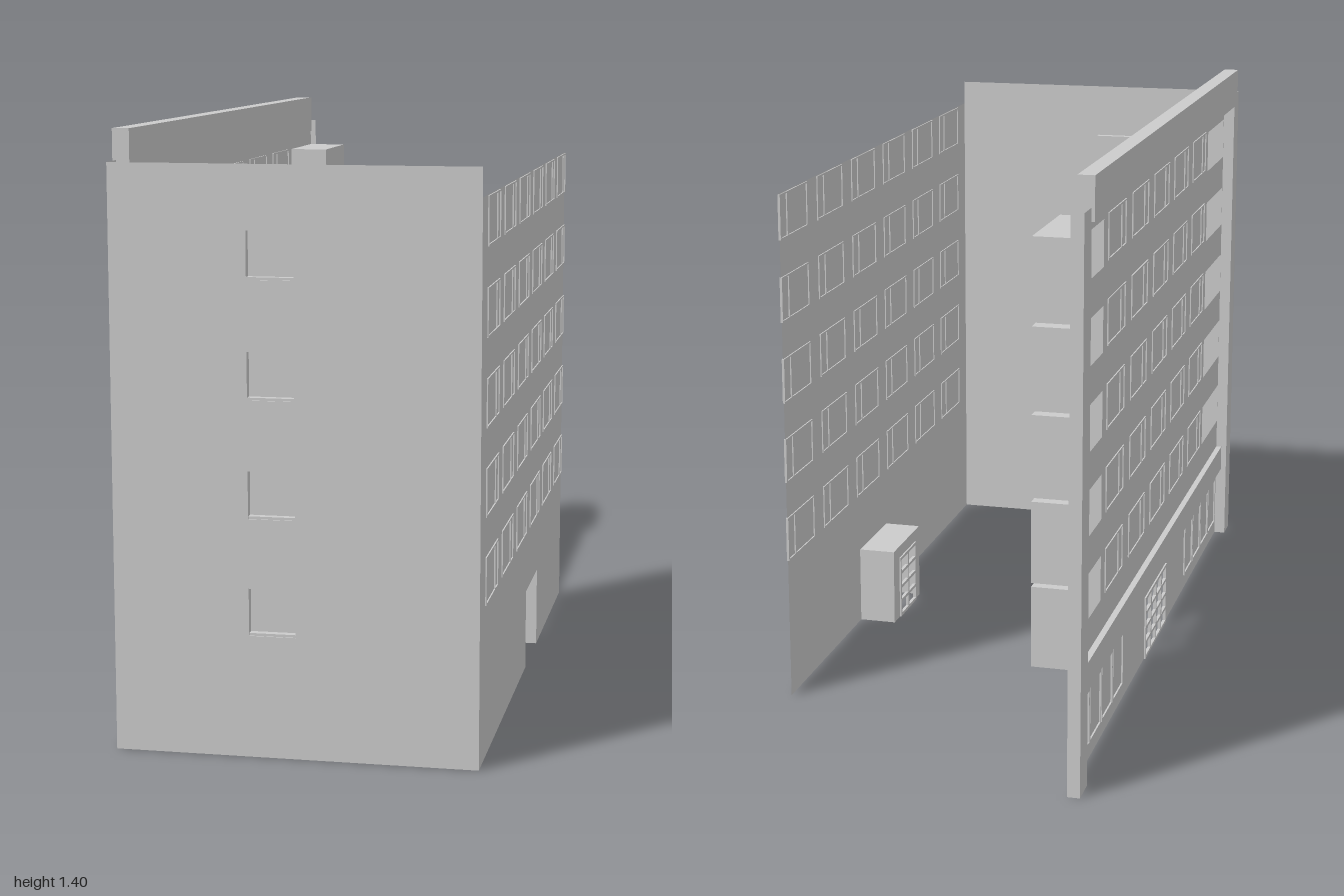
import * as THREE from 'three';

const material = new THREE.MeshStandardMaterial({ color: 0xcccccc, side: THREE.DoubleSide, flatShading: true });
const FACES = ['+x', '-x', '+y', '-y', '+z', '-z'];
const FLOORS = [0, 1, 2, 3, 4].map((i) => 0.275 + i * 0.199);

export function createModel() {
  const model = new THREE.Group();

  function add(name, geometry, parent = model) {
    const mesh = new THREE.Mesh(geometry, material);
    mesh.name = name;
    parent.add(mesh);
    return mesh;
  }

  function group(name) {
    const g = new THREE.Group();
    g.name = name;
    model.add(g);
    return g;
  }

  // Box given by its limits, with the listed faces left open
  function box(name, [x0, x1], [y0, y1], [z0, z1], open = [], parent = model) {
    const g = new THREE.BoxGeometry(x1 - x0, y1 - y0, z1 - z0);
    const index = Array.from(g.index.array).filter((_, i) => !open.includes(FACES[Math.floor(i / 6)]));
    g.setIndex(index);
    g.clearGroups();
    g.translate((x0 + x1) / 2, (y0 + y1) / 2, (z0 + z1) / 2);
    return add(name, g, parent);
  }

  const rect = (a0, a1, b0, b1, Type = THREE.Path) =>
    new Type([[a0, b0], [a1, b0], [a1, b1], [a0, b1]].map((p) => new THREE.Vector2(...p)));

  // Thin wall in the z-y plane at a given x
  function sideWall(name, x, shape, parent) {
    const g = new THREE.ShapeGeometry(shape);
    g.rotateY(-Math.PI / 2);
    g.translate(x, 0, 0);
    return add(name, g, parent);
  }

  // Frame with one bar across, on a side wall
  function windowFrame(x, y0, y1, z0, z1, bar, parent) {
    const shape = rect(z0, z1, y0, y1, THREE.Shape);
    const t = 0.004;
    shape.holes.push(rect(z0 + t, bar - t / 2, y0 + t, y1 - t), rect(bar + t / 2, z1 - t, y0 + t, y1 - t));
    const g = new THREE.ExtrudeGeometry(shape, { depth: 0.006, bevelEnabled: false });
    g.rotateY(-Math.PI / 2);
    g.translate(x + 0.003, 0, 0);
    add('windowFrame', g, parent);
  }

  // Row and column bars of a glazed door
  function doorGrid(name, x, z0, z1, y1, columns, rows) {
    const door = group(name);
    const t = 0.004;
    for (let i = 0; i <= columns; i++) {
      const z = z0 + ((z1 - z0) * i) / columns;
      box('upright', [x - t, x + t], [0, y1], [z - t, z + t], [], door);
    }
    for (let i = 0; i <= rows; i++) {
      const y = t + ((y1 - 2 * t) * i) / rows;
      box('crossbar', [x - t, x + t], [y - t, y + t], [z0, z1], [], door);
    }
  }

  // Front wall with four recessed windows
  const front = rect(-0.415, 0.415, 0, 1.33, THREE.Shape);
  const frontWindows = group('frontWindows');
  for (let i = 0; i < 4; i++) {
    const y = 0.28 + i * 0.266;
    front.holes.push(rect(-0.104, 0.002, y, y + 0.108));
    box('windowRecess', [-0.104, 0.002], [y, y + 0.108], [0.98, 1], ['+z'], frontWindows);
    box('windowSill', [-0.104, 0.002], [y, y + 0.006], [0.98, 0.997], [], frontWindows);
  }
  add('frontWall', new THREE.ShapeGeometry(front)).position.z = 1;

  // Wall on +x with a gap for the porch
  const entryWall = new THREE.Shape(
    [[-0.6, 0], [-0.05, 0], [-0.05, 0.2], [0.18, 0.2], [0.18, 0], [1, 0], [1, 1.265], [-0.6, 1.265]]
      .map((p) => new THREE.Vector2(...p)));
  sideWall('entryWall', 0.415, entryWall);
  const entryWindows = group('entryWallWindows');
  for (let row = 0; row < 5; row++) {
    for (let col = 0; col < 6; col++) {
      const y = 0.353 + row * 0.2;
      const z = -0.6 + col * 0.2655;
      windowFrame(0.415, y, y + 0.11, z, z + 0.192, z + 0.05, entryWindows);
    }
  }

  // Recessed porch and its door
  box('porch', [0.32, 0.415], [0, 0.2], [-0.05, 0.18], ['+x', '-x', '-y']);
  const porchBack = rect(-0.05, 0.18, 0, 0.2, THREE.Shape);
  porchBack.holes.push(rect(0.002, 0.136, 0.004, 0.168));
  sideWall('porchBackWall', 0.32, porchBack);
  doorGrid('porchDoor', 0.32, 0.002, 0.136, 0.168, 2, 4);

  // Long street wall on -x with loggia openings and a door
  const street = rect(-0.93, 0.93, 0, 1.4, THREE.Shape);
  street.holes.push(rect(-0.135, 0.135, 0.004, 0.168));
  const loggias = group('loggias');
  for (const y of FLOORS) {
    for (const [z0, z1] of [[-0.928, -0.67], [0.67, 0.928]]) {
      street.holes.push(rect(z0, z1, y + 0.075, y + 0.185));
      box('loggia', [-0.385, -0.283], [y, y + 0.19], [z0, z1], ['-x'], loggias);
    }
  }
  sideWall('streetWall', -0.385, street);
  doorGrid('streetDoor', -0.385, -0.135, 0.135, 0.168, 4, 4);

  const streetWindows = group('streetWallWindows');
  for (let row = 0; row < 5; row++) {
    for (let col = -2; col <= 2; col++) {
      const y = 0.353 + row * 0.2;
      const z = col * 0.2655 - 0.096;
      windowFrame(-0.385, y, y + 0.11, z, z + 0.192, z + 0.142, streetWindows);
    }
  }

  // Shop windows on the ground floor
  const shops = group('shopWindows');
  for (const start of [-0.91, 0.41]) {
    for (let i = 0; i < 4; i++) {
      const z = start + i * 0.125;
      const shape = rect(z, z + 0.118, 0.04, 0.18, THREE.Shape);
      shape.holes.push(rect(z + 0.006, z + 0.112, 0.046, 0.174));
      const g = new THREE.ExtrudeGeometry(shape, { depth: 0.008, bevelEnabled: false });
      g.rotateY(-Math.PI / 2);
      g.translate(-0.381, 0, 0);
      add('shopWindow', g, shops);
    }
  }

  // Band above the shops and the parapet
  box('band', [-0.4, -0.384], [0.2, 0.27], [-0.93, 0.93]);
  box('parapet', [-0.423, -0.384], [1.3, 1.4], [-0.935, 0.93]);

  // Hollow corner pilasters
  box('backPilaster', [-0.415, -0.385], [0, 1.33], [-1, -0.93], ['+x', '+y', '-y']);
  box('frontPilaster', [-0.415, -0.385], [0, 1.33], [0.93, 1], ['+x', '+y', '-y', '+z']);

  return model;
}
